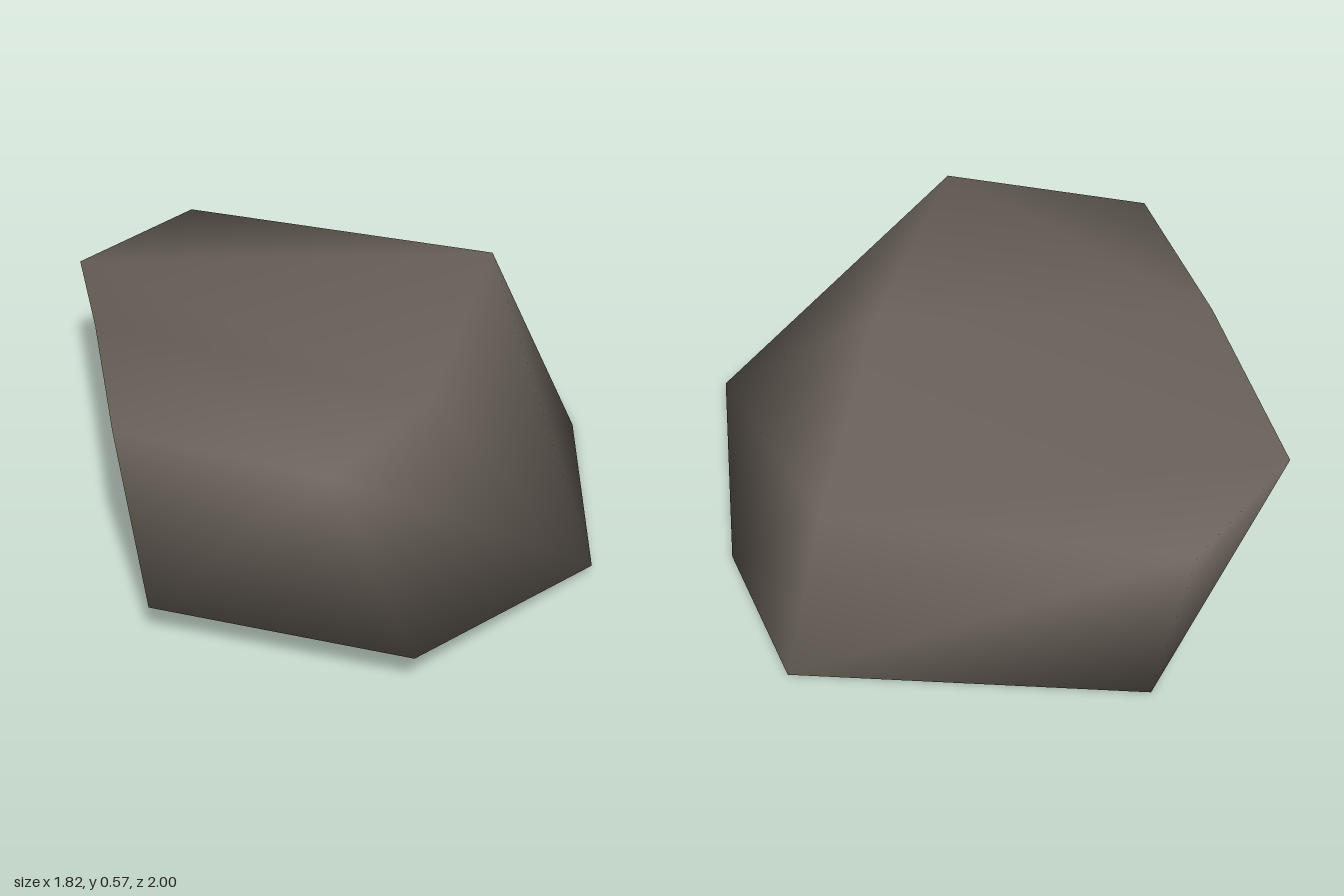
import * as THREE from 'three';

const stone = new THREE.MeshStandardMaterial({ color: 0x6c645c });
stone.name = 'stone grey brown';

// Corners of the upper rim, clockwise from the back left as seen from above
const top = {
  A: [-0.64, 0.45, -0.915], B: [-0.91, 0.45, -0.47], C: [-0.68, 0.56, 0.12],
  D: [-0.46, 0.567, 0.70], E: [0.20, 0.57, 0.82], G: [0.38, 0.45, 0.15], H: [0.43, 0.45, -0.81],
};
// Corners of the lower rim, lifted a little at the front
const base = {
  a: [-0.53, 0, -1], g: [-0.61, 0, -0.35], h: [-0.38, 0, 0.21], f: [-0.31, 0.12, 0.92],
  e: [0.48, 0.12, 1], d: [0.91, 0.03, 0.33], c: [0.76, 0, -0.5], b: [0.52, 0, -1],
};
// Each triangle names its three corners
const facets = [
  'ABH BGH BCG CEG CDE',                               // upper surface
  'AHb Aba BAa Bag Bgh BhC Chf CfD',                   // back and left sides
  'DfE Efe Eed EdG GdH Hdc Hcb',                       // front and right sides
  'abc acg gch hcd hde hef',                           // underside
].join(' ').split(' ');

function rockGeometry() {
  const corners = { ...top, ...base };
  const names = Object.keys(corners);
  const points = names.map((n) => new THREE.Vector3(...corners[n]));
  const centre = new THREE.Vector3(0, 0.26, 0);
  const index = [];
  for (const facet of facets) {
    const [i, j, k] = [...facet].map((n) => names.indexOf(n));
    // Turn every facet to face away from the middle of the rock
    const normal = new THREE.Triangle(points[i], points[j], points[k]).getNormal(new THREE.Vector3());
    const outward = normal.dot(points[i].clone().sub(centre)) > 0;
    index.push(i, ...(outward ? [j, k] : [k, j]));
  }
  const geometry = new THREE.BufferGeometry().setFromPoints(points);
  geometry.setIndex(index);
  geometry.computeVertexNormals(); // shared corners keep the shading smooth
  return geometry;
}

export function createModel() {
  const group = new THREE.Group();
  group.name = 'flat rock';
  const rock = new THREE.Mesh(rockGeometry(), stone);
  rock.name = 'rock';
  group.add(rock);
  return group;
}
